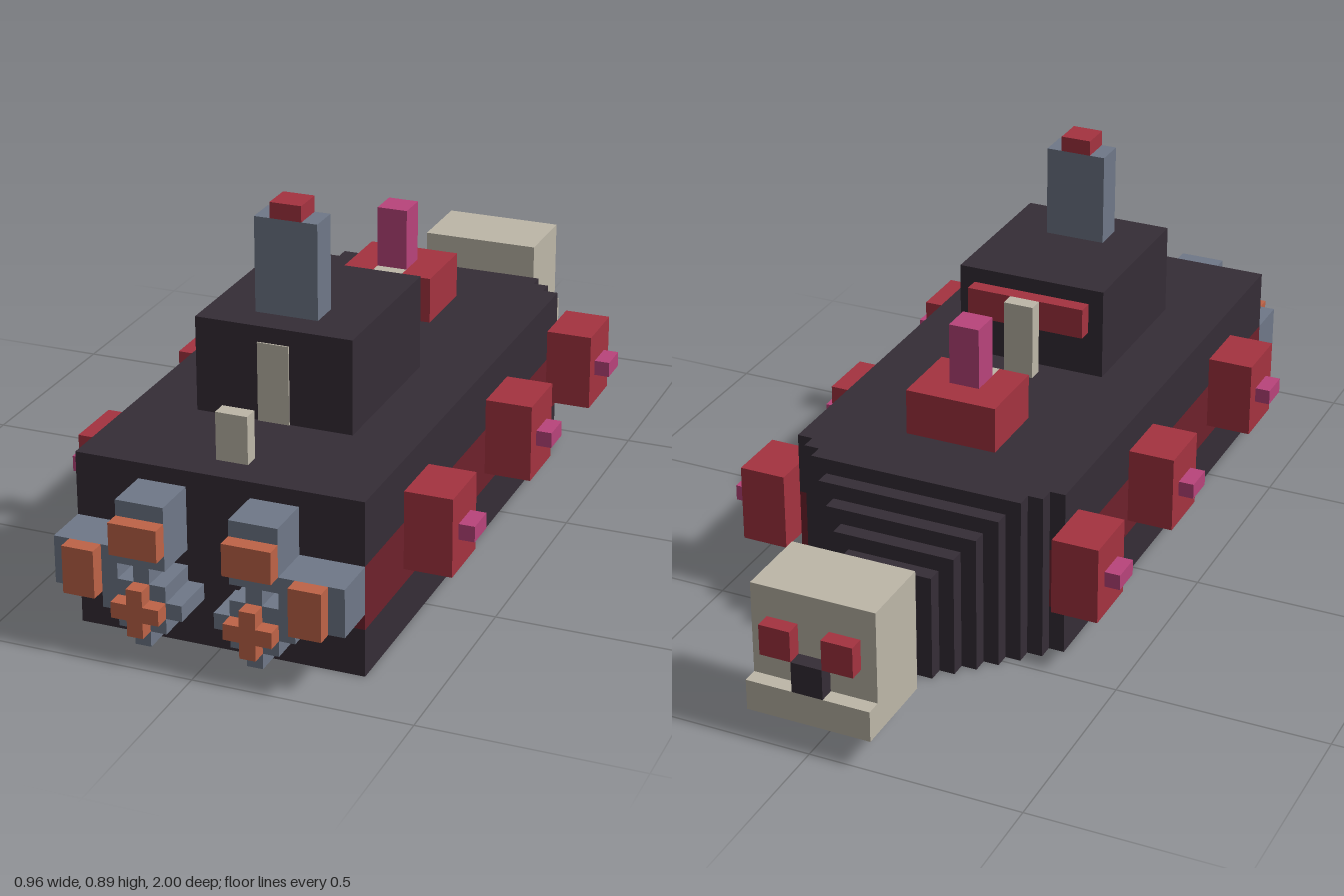
import * as THREE from 'three';

const U = 1 / 27; // one block

export function createModel() {
  const ship = new THREE.Group();
  ship.name = 'blockShip';

  const mat = (name, color) => {
    const m = new THREE.MeshStandardMaterial({ color });
    m.name = name;
    return m;
  };
  const hullDark = mat('hull charcoal', 0x352d36);
  const stripeRed = mat('stripe maroon', 0x6e212c);
  const red = mat('red', 0xa53340);
  const grey = mat('steel grey', 0x6f7888);
  const orange = mat('orange', 0xbf6447);
  const cream = mat('cream', 0xbdb7a8);
  const pink = mat('pink', 0xb9447b);

  // Box between two corners given in blocks
  const box = (name, m, x0, x1, y0, y1, z0, z1, parent = ship) => {
    const g = new THREE.BoxGeometry((x1 - x0) * U, (y1 - y0) * U, (z1 - z0) * U);
    const mesh = new THREE.Mesh(g, m);
    mesh.position.set((x0 + x1) / 2 * U, (y0 + y1) / 2 * U, (z0 + z1) / 2 * U);
    mesh.name = name;
    parent.add(mesh);
  };
  // Same box on both sides of x = 0
  const pair = (name, m, x0, x1, ...rest) => {
    box(name + 'Left', m, x0, x1, ...rest);
    box(name + 'Right', m, -x1, -x0, ...rest);
  };

  // Hull with a flush stripe along each side
  box('hullBottom', hullDark, -9, 9, 0, 3, -11, 23);
  box('hullCore', hullDark, -8, 8, 3, 7, -11, 23);
  box('hullTop', hullDark, -9, 9, 7, 11, -11, 23);
  pair('sideStripe', stripeRed, 8, 9, 3, 7, -11, 23);

  // Stepped tapering end of the hull
  for (let i = 0; i < 8; i++) {
    const w = 8 - i, z = -11 - i;
    box('bowStep', hullDark, -w, w, 0, Math.min(11, 12 - i), z - 1, z);
  }

  // Side gun pods with stub barrels
  for (const z of [15, 1, -11]) {
    pair('gunPod', red, 9, 12, 4, 9, z - 2, z + 2);
    pair('podBarrel', pink, 12, 13, 6, 7, z - 1, z + 1);
  }

  // Engines: upper, outer, and a stepped diamond nozzle on each side
  pair('upperEngine', grey, 2, 5, 6, 10, 23, 26);
  pair('upperEngineGlow', orange, 2, 5, 7, 9, 26, 27);
  pair('outerEngine', grey, 5, 9, 4, 7, 23, 26);
  pair('outerEngineGlow', orange, 6, 8, 4, 7, 26, 27);
  [[1, 3, 4], [2, 2, 5], [3, 1, 6], [4, 2, 5], [5, 3, 4]].forEach(([y, a, b]) =>
    pair('nozzle', grey, a, b, y, y + 1, 23, 26));
  [[2, 3, 4], [3, 2, 5], [4, 3, 4]].forEach(([y, a, b]) =>
    pair('nozzleGlow', orange, a, b, y, y + 1, 26, 27));

  // Cabin, door, window band and chimney
  box('cabin', hullDark, -5, 5, 11, 17, 4, 15);
  box('door', cream, -1, 1, 11, 16, 15, 15.1);
  box('windowBand', red, -4, 4, 14, 16, 3, 4);
  box('chimney', grey, -2, 2, 17, 23, 11, 13);
  box('chimneyCap', red, -1, 1, 23, 24, 11, 13);

  // Deck posts
  box('shortPost', cream, -1, 1, 11, 14, 20, 21);
  box('tallPost', cream, -1, 1, 11, 16, 2, 3);

  // Deck turret with inset hatch and upright barrel
  box('turretBase', red, -3, 3, 11, 14, -8, -4);
  pair('turretFront', red, 1, 3, 11, 14, -4, -3);
  box('turretHatch', cream, -1, 1, 11, 14, -4, -3);
  box('turretBarrel', pink, -1, 1, 14, 18, -6, -4);

  // Floating skull figurehead
  const skull = new THREE.Group();
  skull.name = 'skull';
  ship.add(skull);
  box('skullHead', cream, -4, 4, 2, 10, -26, -21, skull);
  box('skullJaw', cream, -4, 4, 2, 4, -27, -26, skull);
  box('skullNose', hullDark, -1, 1, 4, 6, -27, -26, skull);
  box('skullEyeLeft', red, 1, 3, 6, 8, -27, -26, skull);
  box('skullEyeRight', red, -3, -1, 6, 8, -27, -26, skull);

  return ship;
}
